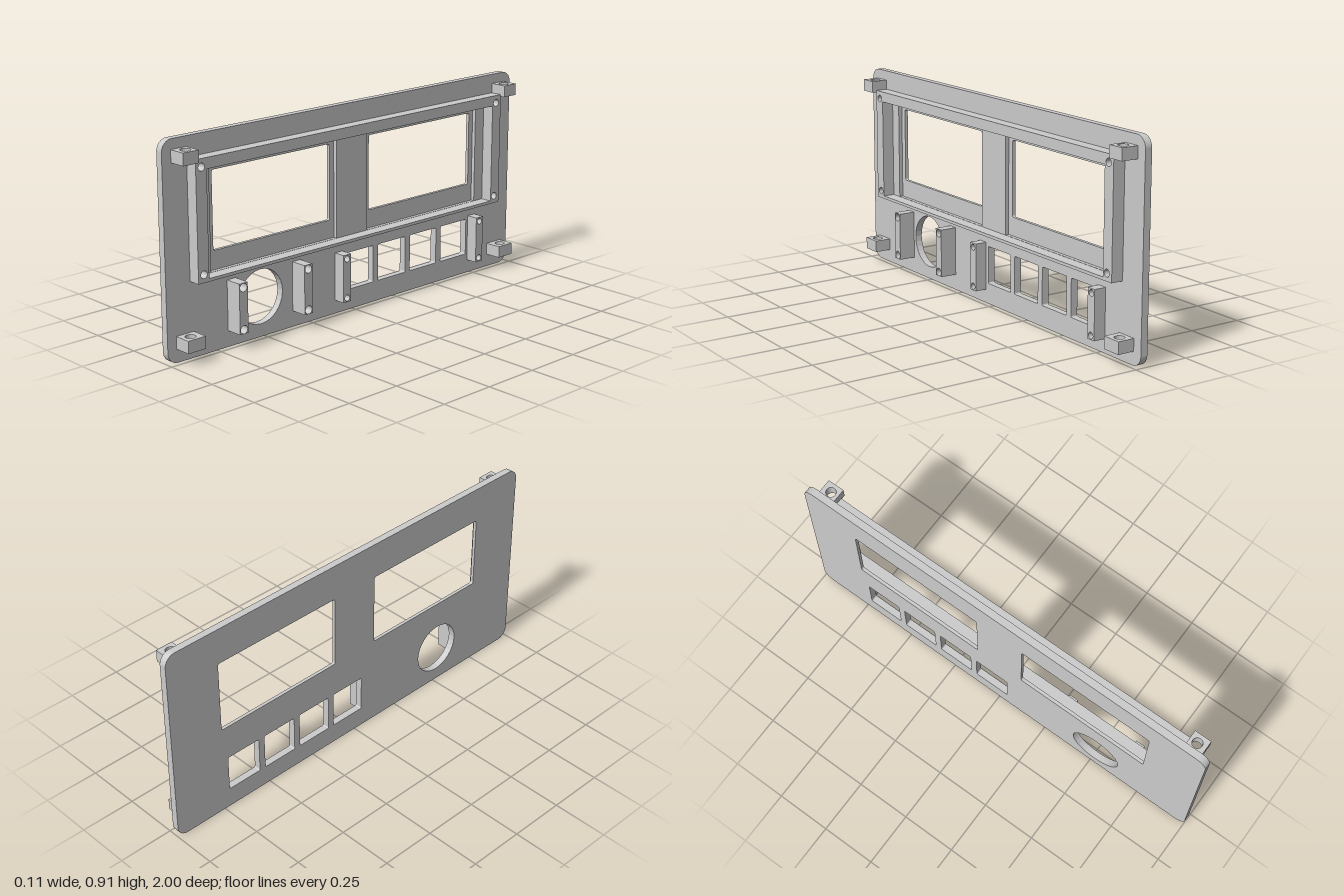
import * as THREE from 'three';

const material = new THREE.MeshStandardMaterial({ color: 0xcccccc });
const PANEL_BACK = -0.055, POCKET_FLOOR = -0.04, PANEL_FACE = -0.023;
const RAIL_TOP = 0.031, POST_TOP = 0.053;

// Rectangle outline with optional rounded corners
function rect(a0, b0, a1, b1, r = 0, Type = THREE.Path) {
  const p = new Type();
  if (r === 0) {
    p.moveTo(a0, b0).lineTo(a1, b0).lineTo(a1, b1).lineTo(a0, b1).closePath();
    return p;
  }
  p.moveTo(a0 + r, b0).lineTo(a1 - r, b0);
  p.absarc(a1 - r, b0 + r, r, -Math.PI / 2, 0);
  p.lineTo(a1, b1 - r);
  p.absarc(a1 - r, b1 - r, r, 0, Math.PI / 2);
  p.lineTo(a0 + r, b1);
  p.absarc(a0 + r, b1 - r, r, Math.PI / 2, Math.PI);
  p.lineTo(a0, b0 + r);
  p.absarc(a0 + r, b0 + r, r, Math.PI, Math.PI * 1.5);
  return p;
}

function circle(a, b, r) {
  return new THREE.Path().absarc(a, b, r, 0, Math.PI * 2, true);
}

function extrude(shape, holes, depth) {
  shape.holes.push(...holes);
  return new THREE.ExtrudeGeometry(shape, { depth, bevelEnabled: false, curveSegments: 16 });
}

// Outline drawn in (-z, y), extruded along x from x0 to x1
function plate(name, shape, holes, x0, x1) {
  const g = extrude(shape, holes, x1 - x0);
  g.rotateY(Math.PI / 2).translate(x0, 0, 0);
  const mesh = new THREE.Mesh(g, material);
  mesh.name = name;
  return mesh;
}

export function createModel() {
  const group = new THREE.Group();
  group.name = 'instrumentPanel';

  // Openings shared by both panel layers: round gauge and four switches
  const cutouts = () => {
    const list = [circle(-0.517, 0.174, 0.118)];
    for (let i = 0; i < 4; i++) {
      const a = -0.041 + i * 0.198;
      list.push(rect(a, 0.091, a + 0.167, 0.257, 0.006));
    }
    return list;
  };
  const outline = () => rect(-1, 0, 1, 0.912, 0.05, THREE.Shape);

  // Outer skin with the two display windows
  const windows = [
    rect(-0.746, 0.417, -0.115, 0.749, 0.01),
    rect(0.115, 0.417, 0.746, 0.749, 0.01),
  ];
  group.add(plate('panelSkin', outline(), [...windows, ...cutouts()], PANEL_BACK, POCKET_FLOOR));

  // Inner layer with the recessed display pockets
  const pockets = [
    rect(-0.773, 0.336, -0.09, 0.78),
    rect(0.087, 0.336, 0.771, 0.78),
  ];
  group.add(plate('panelPocketLayer', outline(), [...pockets, ...cutouts()], POCKET_FLOOR, PANEL_FACE));

  // Raised frame around the displays, screw holes in its corners
  const frameHoles = [rect(-0.826, 0.335, 0.826, 0.78)];
  for (const a of [-0.851, 0.849]) {
    for (const y of [0.356, 0.792]) frameHoles.push(circle(a, y, 0.016));
  }
  group.add(plate('displayFrame', rect(-0.88, 0.322, 0.88, 0.826, 0, THREE.Shape),
    frameHoles, PANEL_FACE, RAIL_TOP));

  // Screw posts beside the gauge (tall) and the switch row (short)
  const posts = [
    ['gaugePost', -0.671, 0.07, 0.286, POST_TOP, 0.018],
    ['gaugePost', -0.321, 0.07, 0.286, POST_TOP, 0.018],
    ['switchPost', -0.079, 0.06, 0.272, RAIL_TOP, 0.014],
    ['switchPost', 0.754, 0.06, 0.272, RAIL_TOP, 0.014],
  ];
  for (const [name, a, y0, y1, x1, r] of posts) {
    group.add(plate(name, rect(a - 0.022, y0, a + 0.022, y1, 0, THREE.Shape),
      [circle(a, y0 + 0.018, r), circle(a, y1 - 0.019, r)], PANEL_FACE, x1));
  }

  // Corner mounting blocks with vertical bolt holes
  for (const side of [-1, 1]) {
    for (const [y0, y1, inner] of [[0.058, 0.111, 0.868], [0.817, 0.869, 0.879]]) {
      const b = [side * inner, side * 0.956].sort((p, q) => p - q);
      const g = extrude(rect(PANEL_FACE, b[0], POST_TOP, b[1], 0, THREE.Shape),
        [circle(0.015, side * 0.915, 0.022)], y1 - y0);
      g.rotateX(-Math.PI / 2).translate(0, y0, 0);
      const block = new THREE.Mesh(g, material);
      block.name = 'mountingBlock';
      group.add(block);
    }
  }
  return group;
}
